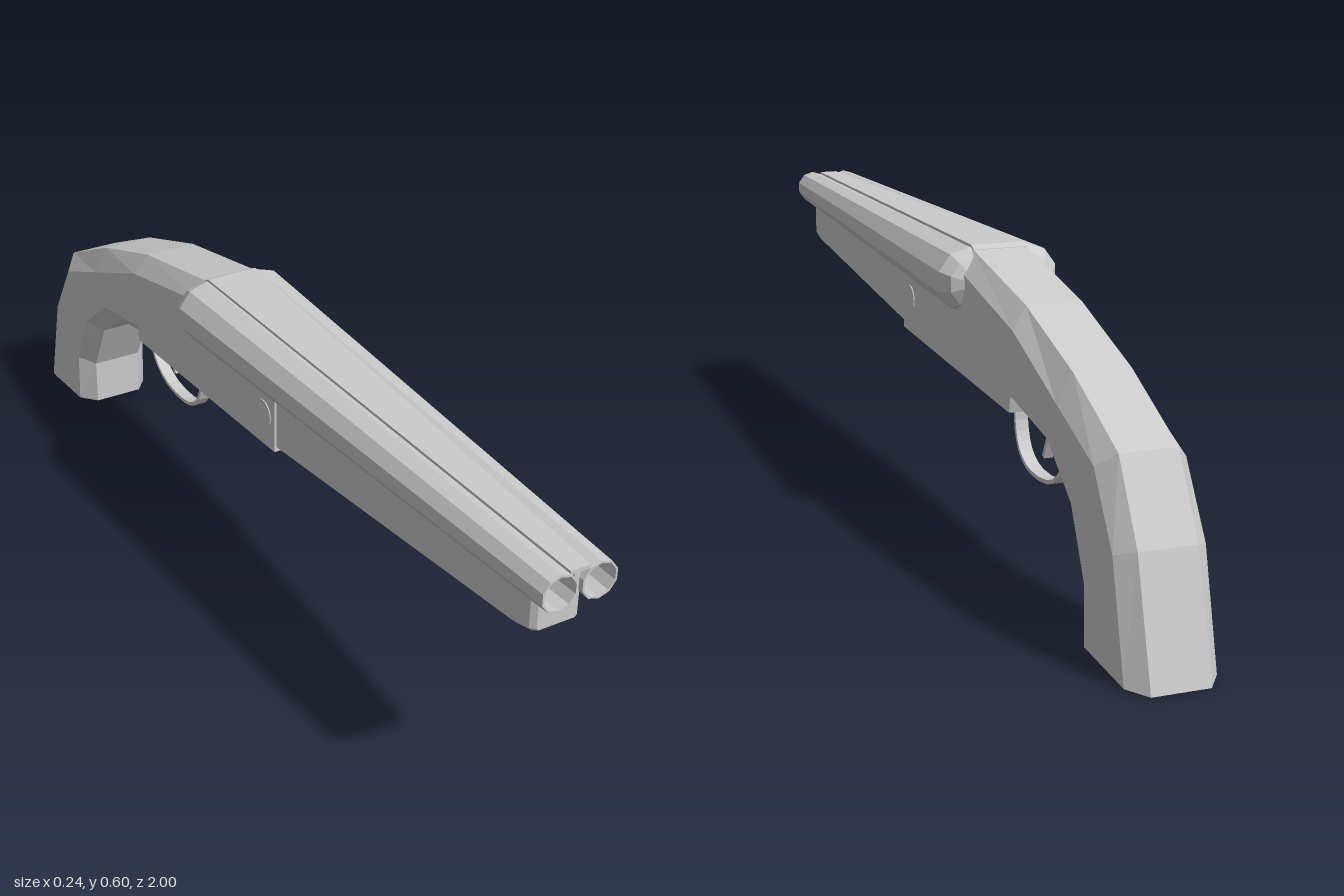
import * as THREE from 'three';

const material = new THREE.MeshStandardMaterial({ color: 0xcccccc, flatShading: true });

// Skin a list of equal-length cross-sections (counter-clockwise seen from the front, running backwards)
function loft(name, sections) {
  const pos = [];
  const tri = (a, b, c) => pos.push(...a, ...b, ...c);
  const n = sections[0].length;
  for (let i = 0; i < sections.length - 1; i++) {
    const s = sections[i], t = sections[i + 1];
    for (let j = 0; j < n; j++) {
      const k = (j + 1) % n;
      tri(s[j], t[j], s[k]);
      tri(s[k], t[j], t[k]);
    }
  }
  const first = sections[0], last = sections[sections.length - 1];
  for (let j = 1; j < n - 1; j++) {
    tri(first[0], first[j], first[j + 1]);
    tri(last[0], last[j + 1], last[j]);
  }
  const geometry = new THREE.BufferGeometry();
  geometry.setAttribute('position', new THREE.Float32BufferAttribute(pos, 3));
  geometry.computeVertexNormals();
  const mesh = new THREE.Mesh(geometry, material);
  mesh.name = name;
  return mesh;
}

// Mirror the +x half of a section ([x, y, z], bottom to top) into a full loop
const mirrored = (half) => [...half, ...half.slice().reverse().map(([x, y, z]) => [-x, y, z])];

// Flat strip of metal following a curve through [z, y] points
function strip(name, points, halfWidth, thickness, steps) {
  const curve = new THREE.CatmullRomCurve3(points.map(([z, y]) => new THREE.Vector3(0, y, z)));
  const sections = [];
  for (let i = 0; i <= steps; i++) {
    const p = curve.getPoint(i / steps), d = curve.getTangent(i / steps);
    const ny = -d.z * thickness / 2, nz = d.y * thickness / 2;
    sections.push(mirrored([
      [halfWidth, p.y - ny, p.z - nz],
      [halfWidth, p.y + ny, p.z + nz],
    ]));
  }
  return loft(name, sections);
}

export function createModel() {
  const group = new THREE.Group();

  // Receiver and curved grip: [z, y] of bottom edge, lower side, upper side, top edge
  const W = 0.085, F = 0.055;
  const body = [
    [[0.155, 0.37], [0.155, 0.371], [0.155, 0.499], [0.155, 0.5]],
    [[-0.165, 0.352], [-0.165, 0.353], [-0.165, 0.499], [-0.165, 0.5]],
    [[-0.17, 0.352], [-0.17, 0.353], [-0.17, 0.558], [-0.17, 0.594]],
    [[-0.447, 0.337], [-0.447, 0.338], [-0.46, 0.495], [-0.452, 0.537]],
    [[-0.45, 0.337], [-0.455, 0.37], [-0.463, 0.494], [-0.455, 0.536]],
    [[-0.607, 0.307], [-0.628, 0.337], [-0.666, 0.41], [-0.67, 0.463]],
    [[-0.703, 0.236], [-0.735, 0.252], [-0.826, 0.344], [-0.858, 0.372]],
    [[-0.762, 0.118], [-0.794, 0.129], [-0.906, 0.215], [-0.938, 0.228]],
    [[-0.762, 0.016], [-0.8, 0.014], [-0.96, 0.003], [-1, 0]],
  ];
  const bodySections = body.map((section, i) => {
    const half = section.map(([z, y], j) => {
      const flat = (j === 0 && i > 3) || (j === 3 && i > 1);
      return [flat ? F : W, y, z];
    });
    return mirrored(half);
  });
  group.add(loft('receiverAndGrip', bodySections));

  // Forend, tapering to a blunt nose: [z, half width, bottom, top, bottom chamfer]
  const forend = [
    [0.95, 0.041, 0.437, 0.503, 0.004],
    [0.94, 0.05, 0.432, 0.506, 0.008],
    [0.895, 0.052, 0.42, 0.507, 0.01],
    [0.155, 0.08, 0.37, 0.5, 0.01],
  ];
  const forendSections = forend.map(([z, w, y0, y1, c]) => (
    mirrored([[w - c, y0, z], [w, y0 + c, z], [w, y1, z]])
  ));
  group.add(loft('forend', forendSections));

  // Barrels: bore, rim, tapered outside and domed breech, ten-sided: [z, radius]
  const barrel = [
    [0.55, 0.033], [1, 0.033], [1, 0.037], [-0.17, 0.065],
    [-0.2, 0.05], [-0.213, 0.028], [-0.218, 0.004],
  ];
  for (const side of [1, -1]) {
    const sections = barrel.map(([z, r]) => {
      const t = Math.min(1, (1 - z) / 1.17);
      const cx = side * (0.04 + 0.02 * t), cy = 0.543 - 0.013 * t;
      return Array.from({ length: 10 }, (_, i) => {
        const a = (i + 0.5) * Math.PI / 5;
        return [cx + r * Math.cos(a), cy + r * Math.sin(a), z];
      });
    });
    group.add(loft(side > 0 ? 'leftBarrel' : 'rightBarrel', sections));
  }

  // Flat rib on top and the web joining the barrels
  const bar = (z, w, y0, y1) => mirrored([[w, y0, z], [w, y1, z]]);
  group.add(loft('topRib', [
    bar(0.997, 0.02, 0.571, 0.579),
    bar(-0.17, 0.055, 0.57, 0.599),
    bar(-0.185, 0.055, 0.57, 0.592),
  ]));
  group.add(loft('barrelWeb', [bar(0.99, 0.006, 0.52, 0.574), bar(-0.16, 0.01, 0.48, 0.58)]));

  // Hinge pin through the receiver
  const pin = new THREE.Mesh(new THREE.CylinderGeometry(0.029, 0.029, 2 * W + 0.004, 16), material);
  pin.name = 'hingePin';
  pin.rotation.z = Math.PI / 2;
  pin.position.set(0, 0.438, 0.112);
  group.add(pin);

  // Guard loop and trigger
  group.add(strip('triggerGuard', [
    [-0.308, 0.35], [-0.297, 0.28], [-0.318, 0.225], [-0.366, 0.198],
    [-0.473, 0.203], [-0.527, 0.243], [-0.553, 0.295], [-0.59, 0.32],
  ], 0.013, 0.008, 20));
  group.add(strip('trigger', [[-0.436, 0.35], [-0.452, 0.295], [-0.43, 0.24]], 0.009, 0.01, 6));

  return group;
}
